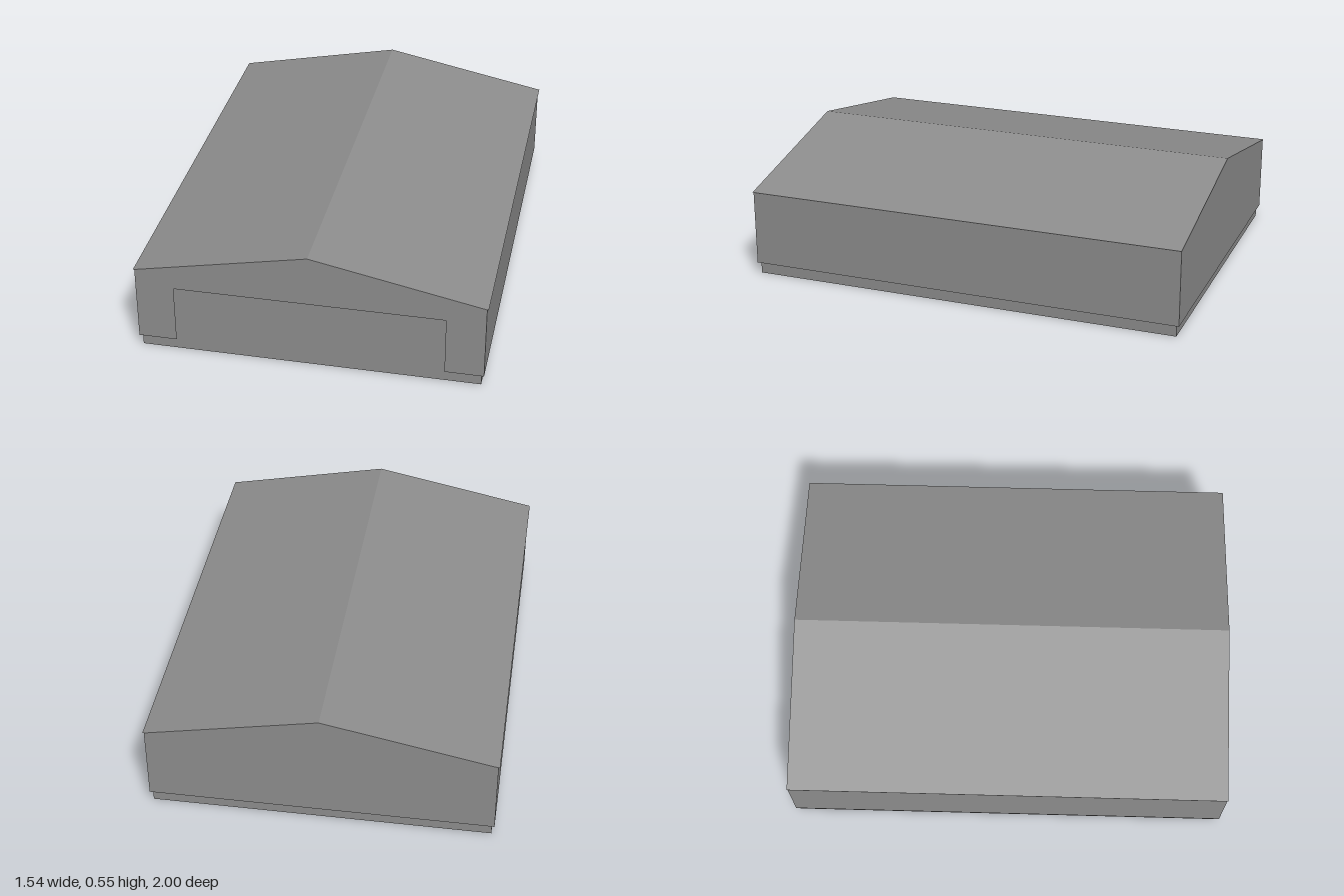
import * as THREE from 'three';

const material = new THREE.MeshStandardMaterial({
  color: 0x8e8e8e, flatShading: true, side: THREE.DoubleSide,
});

const EAVE = 0.398, RIDGE = 0.552;
const SILL = 0.053, DOOR_TOP = 0.32, DOOR_HALF = 0.592;
const WALL_X = 0.762, WALL_Z = 0.998;
const BASE_X = 0.75, BASE_Z = 0.985;

function addMesh(parent, name, geometry) {
  const mesh = new THREE.Mesh(geometry, material);
  mesh.name = name;
  parent.add(mesh);
  return mesh;
}

// Upright rectangular sheet facing +z, standing on y = bottom
function sheet(width, bottom, top) {
  return new THREE.PlaneGeometry(width, top - bottom).translate(0, (top + bottom) / 2, 0);
}

// Gabled end wall, optionally notched for the doorway
function gable(withDoorway) {
  const points = [[-WALL_X, SILL]];
  if (withDoorway) {
    points.push([-DOOR_HALF, SILL], [-DOOR_HALF, DOOR_TOP], [DOOR_HALF, DOOR_TOP], [DOOR_HALF, SILL]);
  }
  points.push([WALL_X, SILL], [WALL_X, EAVE], [0, RIDGE], [-WALL_X, EAVE]);
  return new THREE.ShapeGeometry(new THREE.Shape(points.map(([x, y]) => new THREE.Vector2(x, y))));
}

export function createModel() {
  const group = new THREE.Group();
  group.name = 'garage';

  // End walls
  addMesh(group, 'frontWall', gable(true)).position.z = WALL_Z;
  const back = addMesh(group, 'backWall', gable(false));
  back.rotation.y = Math.PI;
  back.position.z = -WALL_Z;

  // Inner lining: shows as the plinth below the walls and as the door in the opening
  const lining = new THREE.Group();
  lining.name = 'plinthAndDoor';
  group.add(lining);
  addMesh(lining, 'doorPanel', sheet(2 * BASE_X, 0, DOOR_TOP)).position.z = BASE_Z;
  const backLining = addMesh(lining, 'backLining', sheet(2 * BASE_X, 0, DOOR_TOP));
  backLining.rotation.y = Math.PI;
  backLining.position.z = -BASE_Z;

  // Mirrored side walls, side linings and roof slopes
  for (const [side, label] of [[1, 'left'], [-1, 'right']]) {
    const wall = addMesh(group, label + 'Wall', sheet(2 * WALL_Z, SILL, EAVE));
    wall.rotation.y = side * Math.PI / 2;
    wall.position.x = side * WALL_X;

    const inner = addMesh(lining, label + 'Lining', sheet(2 * BASE_Z, 0, DOOR_TOP));
    inner.rotation.y = side * Math.PI / 2;
    inner.position.x = side * BASE_X;

    const run = 0.768, rise = RIDGE - EAVE;
    const slope = new THREE.PlaneGeometry(Math.hypot(run, rise), 2).rotateX(-Math.PI / 2);
    const roof = addMesh(group, label + 'Roof', slope);
    roof.rotation.z = -side * Math.atan2(rise, run);
    roof.position.set(side * run / 2, (EAVE + RIDGE) / 2, 0);
  }

  return group;
}
